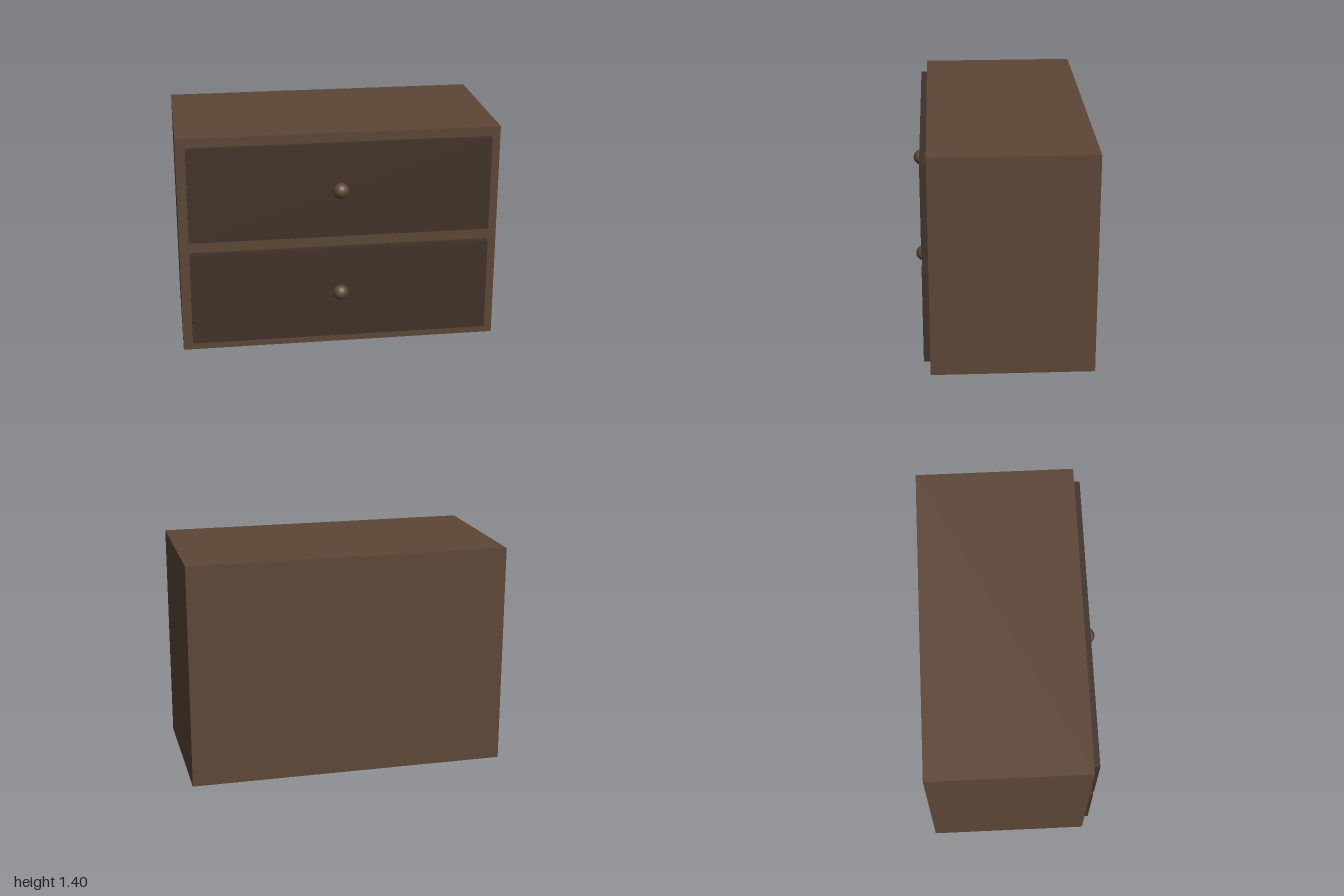
import * as THREE from 'three';

export function createModel() {
  const group = new THREE.Group();
  const bodyWood = new THREE.MeshStandardMaterial({ color: 0x5c4635 });
  const drawerWood = new THREE.MeshStandardMaterial({ color: 0x403128 });
  const knobWood = new THREE.MeshStandardMaterial({ color: 0x5c4635 });

  function add(name, geometry, material, x, y, z) {
    const mesh = new THREE.Mesh(geometry, material);
    mesh.name = name;
    mesh.position.set(x, y, z);
    group.add(mesh);
  }

  // Cabinet body
  const frontZ = 0.455;
  add('cabinet', new THREE.BoxGeometry(2, 1.4, 1), bodyWood, 0, 0.7, frontZ - 0.5);

  // Two drawer fronts, half sunk into the cabinet, each with a round knob
  const drawerGeometry = new THREE.BoxGeometry(1.88, 0.6, 0.08);
  const knobGeometry = new THREE.SphereGeometry(0.05, 32, 16);
  for (const [level, y] of [['lower', 0.36], ['upper', 1.04]]) {
    add(level + 'Drawer', drawerGeometry, drawerWood, 0, y, frontZ);
    add(level + 'Knob', knobGeometry, knobWood, 0, y, frontZ + 0.04);
  }

  return group;
}
